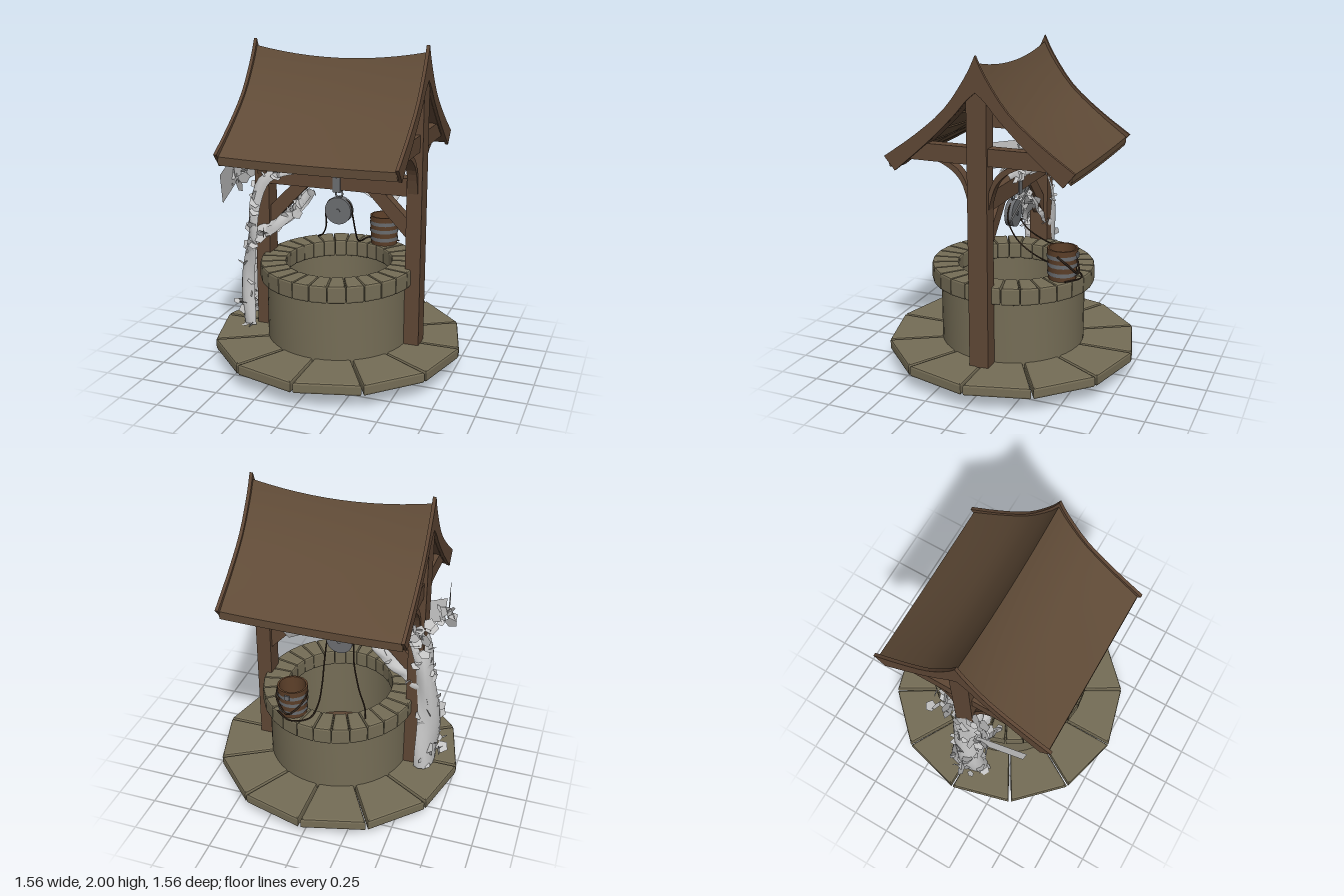
import * as THREE from 'three';
import { mergeGeometries, toCreasedNormals } from 'three/addons/utils/BufferGeometryUtils.js';

const mat = (name, color, side = THREE.FrontSide) => {
  const m = new THREE.MeshStandardMaterial({ color, side });
  m.name = name;
  return m;
};

export function createModel() {
  const root = new THREE.Group();
  root.name = 'well';
  const M = {
    stone: mat('stone', 0x756d56),
    wood: mat('timber', 0x5f4735),
    roof: mat('roof wood', 0x604b37),
    bucket: mat('bucket wood', 0x5c3f29),
    iron: mat('iron', 0x6c6e71),
    rope: mat('rope', 0x35281e, THREE.DoubleSide),
    vine: mat('vine', 0xc4c4c4, THREE.DoubleSide),
  };
  const add = (name, geo, m, x = 0, y = 0, z = 0) => {
    const mesh = new THREE.Mesh(geo, m);
    mesh.name = name;
    mesh.position.set(x, y, z);
    root.add(mesh);
    return mesh;
  };
  const box = (name, m, x0, x1, y0, y1, z0, z1) =>
    add(name, new THREE.BoxGeometry(x1 - x0, y1 - y0, z1 - z0), m, (x0 + x1) / 2, (y0 + y1) / 2, (z0 + z1) / 2);
  const V2 = (a) => a.map(([x, y]) => new THREE.Vector2(x, y));
  const V3 = (a) => a.map((p) => new THREE.Vector3(...p));
  const lathe = (pts, n) => toCreasedNormals(new THREE.LatheGeometry(V2(pts), n), 0.6);
  const smooth = (pts, n = 12) => new THREE.SplineCurve(V2(pts)).getPoints(n);
  const flip = (pts) => pts.map((p) => new THREE.Vector2(-p.x, p.y));
  const plate = (pts, depth) =>
    new THREE.ExtrudeGeometry(new THREE.Shape(pts), { depth, bevelEnabled: false });
  // Profile drawn in (z, y), extruded along x and centred
  const sidePlate = (pts, depth) => plate(pts, depth).translate(0, 0, -depth / 2).rotateY(Math.PI / 2);

  // Ring of bevelled wedge stones
  function stoneRing(name, n, ri, ro, y0, y1, gap, b, sx = 1, sz = 1) {
    const h = Math.PI / n, g = gap / 2 + b;
    const at = (r, s) => [r * Math.cos(h), s * (r * Math.sin(h) - g)];
    const shape = new THREE.Shape(V2([at(ri + b, -1), at(ro - b, -1), at(ro - b, 1), at(ri + b, 1)]));
    const geo = new THREE.ExtrudeGeometry(shape, {
      depth: y1 - y0 - 2 * b, bevelThickness: b, bevelSize: b, bevelSegments: 2,
    }).rotateX(-Math.PI / 2).translate(0, y0 + b, 0);
    const ring = new THREE.Group();
    ring.name = name;
    for (let i = 0; i < n; i++) {
      const s = new THREE.Mesh(geo, M.stone);
      s.name = name + 'Stone';
      s.rotation.y = (2 * i + 1) * h;
      ring.add(s);
    }
    ring.scale.set(sx, 1, sz);
    root.add(ring);
  }

  // Foundation, paving and well shaft
  add('foundation', lathe([[0.355, 0], [0.355, 0.08], [0.3, 0.08], [0.3, 0], [0.355, 0]], 48), M.stone);
  add('wellFloor', new THREE.CylinderGeometry(0.38, 0.38, 0.06, 48), M.wood, 0, 0.105, 0);
  stoneRing('paving', 12, 0.41, 0.785, 0.1, 0.17, 0.012, 0.014);
  add('wellWall', lathe([[0.45, 0.13], [0.45, 0.56], [0.365, 0.56], [0.365, 0.13]], 48), M.stone);
  stoneRing('rim', 28, 0.345, 0.512, 0.55, 0.66, 0.004, 0.013, 0.955, 1);

  // Roof sheets: a box bent along the slope, with a sagging ridge
  const slope = new THREE.SplineCurve(V2([[0, 1.96], [0.06, 1.85], [0.19, 1.68], [0.375, 1.52], [0.555, 1.385]]));
  function roofSheet(name, s0, s1, top, bottom, turn) {
    const g = new THREE.BoxGeometry(1.07, 1, 1, 12, 1, 10);
    const p = g.attributes.position;
    for (let i = 0; i < p.count; i++) {
      const x = p.getX(i), s = s0 + (s1 - s0) * (p.getZ(i) + 0.5);
      const c = slope.getPoint(s);
      const sag = 0.055 * (1 - (x / 0.535) ** 2) * (1 - 0.85 * s);
      p.setXYZ(i, x, c.y - sag + (p.getY(i) > 0 ? top : bottom), c.x);
    }
    g.computeVertexNormals();
    add(name, g, M.roof).rotation.y = turn;
  }
  for (const turn of [0, Math.PI]) {
    roofSheet('roofSlope', 0, 1, 0, -0.035, turn);
    for (let i = 0; i < 7; i++) roofSheet('roofPlank', i / 7 + 0.008, (i + 1) / 7 - 0.012, -0.03, -0.055, turn);
  }

  // Gable profile from an upper and a lower edge, mirrored about the ridge
  const gable = (up, low) => {
    const u = smooth(up), l = smooth(low);
    return [...u, ...l, ...flip(l).reverse().slice(1), ...flip(u).reverse().slice(0, -1)];
  };
  const lowEdge = [[0.30, 1.5], [0.14, 1.656], [0.058, 1.75], [0, 1.8]];
  const barge = gable([[0, 2], [0.058, 1.885], [0.19, 1.7], [0.376, 1.54], [0.577, 1.4]], [[0.51, 1.32], ...lowEdge]);
  const rafter = gable([[0, 1.9], [0.06, 1.8], [0.19, 1.635], [0.375, 1.475], [0.53, 1.365]], [[0.50, 1.335], ...lowEdge]);
  const archLow = smooth([[0.05, 1.09], [0.095, 1.26], [0.164, 1.345], [0.26, 1.395]]);
  const archUp = smooth([[0.19, 1.395], [0.13, 1.36], [0.085, 1.3], [0.05, 1.2]]);
  const arch = [...archLow, ...archUp];

  // Timber frame at each end
  for (const s of [-1, 1]) {
    const post = box('post', M.wood, -0.047, 0.047, 0.165, 1.83, -0.06, 0.06);
    post.position.x = s * 0.493;
    add('bargeboard', sidePlate(barge, 0.02), M.wood, s * 0.54, 0, 0);
    add('rafter', sidePlate(rafter, 0.1), M.wood, s * 0.478, 0, 0);
    add('tieBeam', sidePlate(V2([[-0.43, 1.39], [0.43, 1.39], [0.32, 1.49], [-0.32, 1.49]]), 0.07), M.wood, s * 0.488, 0, 0);
    for (const side of [arch, flip(arch)]) add('archBrace', sidePlate(side, 0.06), M.wood, s * 0.485, 0, 0);
    const knee = V2([[0.19, 1.115], [0.3, 1.115], [0.45, 0.965], [0.45, 0.84]].map(([x, y]) => [s * x, y]));
    add('kneeBrace', plate(knee, 0.07), M.wood, 0, 0, -0.035);
  }
  box('crossBeam', M.wood, -0.46, 0.46, 1.11, 1.22, -0.045, 0.045);

  // Pulley and ropes
  box('pulleyBracket', M.iron, -0.025, 0.025, 1.095, 1.195, -0.052, 0.052);
  add('pulleyRing', new THREE.TorusGeometry(0.022, 0.006, 6, 16), M.iron, 0, 1.075, 0);
  add('pulleyWheel', new THREE.CylinderGeometry(0.085, 0.085, 0.05, 28).rotateX(Math.PI / 2), M.iron, 0, 0.97, 0);
  add('pulleyAxle', new THREE.CylinderGeometry(0.014, 0.014, 0.066, 12).rotateX(Math.PI / 2), M.iron, 0, 0.97, 0);
  const rope = (name, pts, r = 0.005) =>
    add(name, new THREE.TubeGeometry(new THREE.CatmullRomCurve3(V3(pts)), 40, r, 6), M.rope);
  rope('ropeLeft', [[0, 1.056, 0], [-0.07, 1.02, 0], [-0.087, 0.95, 0], [-0.1, 0.86, -0.04], [-0.17, 0.75, -0.16],
    [-0.25, 0.69, -0.28], [-0.27, 0.667, -0.34]]);
  rope('ropeRight', [[0, 1.056, 0], [0.07, 1.02, 0], [0.087, 0.95, 0], [0.085, 0.83, -0.06], [0.06, 0.73, -0.18],
    [0.04, 0.68, -0.31], [0.05, 0.667, -0.44], [0.15, 0.665, -0.495], [0.26, 0.667, -0.43]]);

  // Bucket on the rim
  const bx = 0.173, bz = -0.385;
  add('bucket', lathe([[0, 0], [0.085, 0], [0.093, 0.19], [0.081, 0.19], [0.074, 0.02], [0, 0.02]], 16), M.bucket, bx, 0.66, bz);
  for (const y of [0.04, 0.095, 0.145]) {
    const r = 0.0885 + y * 0.042;
    add('bucketHoop', new THREE.CylinderGeometry(r + 0.001, r, 0.024, 16, 1, true), M.iron, bx, 0.66 + y, bz);
  }
  rope('bucketHandle', [[bx - 0.095, 0.82, bz], [bx - 0.08, 0.77, bz - 0.06], [bx, 0.7, bz - 0.1],
    [bx + 0.08, 0.77, bz - 0.06], [bx + 0.095, 0.82, bz]], 0.006);
  box('handleLug', M.iron, bx - 0.015, bx + 0.015, 0.8, 0.83, bz - 0.1, bz - 0.085);

  // Climbing vine: half-tube sheets swept along a path, plus scattered leaves
  let seed = 7;
  const rnd = () => (seed = (seed * 16807) % 2147483647) / 2147483647;
  const leaves = [];
  const leaf = (p, r) => {
    const g = new THREE.CircleGeometry(r * (0.7 + 0.6 * rnd()), 5);
    g.rotateX(rnd() * 2 - 1).rotateY(rnd() * 6.3).rotateZ(rnd() * 2 - 1);
    leaves.push(g.translate(p.x, p.y, p.z));
  };
  function vineSheet(name, path, rows, wide, r0, r1, leafCount) {
    const curve = new THREE.CatmullRomCurve3(V3(path));
    const cols = 10, pos = [], idx = [];
    const point = (u, v) => {
      const c = curve.getPoint(u), t = curve.getTangent(u);
      const a = (v * 2 - 1) * 1.9;
      const r = (r0 + (r1 - r0) * u) * (0.92 + 0.12 * Math.sin(u * 17 + v * 9));
      return new THREE.Vector3(c.x - t.y * Math.cos(a) * r, c.y + t.x * Math.cos(a) * r, c.z + Math.sin(a) * r * wide);
    };
    for (let i = 0; i <= rows; i++) for (let j = 0; j <= cols; j++) {
      pos.push(...point(i / rows, j / cols).toArray());
      if (i < rows && j < cols) {
        const k = i * (cols + 1) + j;
        idx.push(k, k + 1, k + cols + 1, k + 1, k + cols + 2, k + cols + 1);
      }
    }
    const g = new THREE.BufferGeometry();
    g.setAttribute('position', new THREE.Float32BufferAttribute(pos, 3));
    g.setIndex(idx);
    g.computeVertexNormals();
    add(name, g, M.vine);
    for (let i = 0; i < leafCount; i++) leaf(point(rnd(), rnd()), 0.03);
  }
  vineSheet('mainVine', [[-0.555, 0.18, 0.01], [-0.56, 0.45, 0.02], [-0.535, 0.75, 0.02], [-0.51, 0.98, 0.02],
    [-0.43, 1.15, 0.02], [-0.27, 1.21, 0], [-0.05, 1.215, 0], [0.16, 1.215, 0]], 30, 1.3, 0.1, 0.04, 75);
  vineSheet('sideVine', [[-0.52, 0.76, 0.02], [-0.4, 0.83, 0.02], [-0.28, 0.93, 0], [-0.18, 1.06, 0]], 10, 1.2, 0.075, 0.04, 22);

  // Dense leaf clumps: centre and spread
  for (const [x, y, z, d, n] of [[-0.61, 1.2, 0.16, 0.06, 14], [-0.49, 0.79, 0.12, 0.06, 8], [-0.61, 0.3, 0.03, 0.07, 12],
    [-0.61, 0.58, 0.03, 0.05, 8], [-0.52, 1.18, -0.14, 0.07, 16]])
    for (let i = 0; i < n; i++)
      leaf(new THREE.Vector3(x + (rnd() * 2 - 1) * d, y + (rnd() * 2 - 1) * d * 1.3, z + (rnd() * 2 - 1) * d), 0.035);
  add('vineLeaves', mergeGeometries(leaves), M.vine);

  // Loose flat sprays
  const spray = (name, w, h, x, y, z, rx, ry, rz) =>
    add(name, new THREE.PlaneGeometry(w, h), M.vine, x, y, z).rotation.set(rx, ry, rz);
  spray('frontSpray', 0.3, 0.18, -0.61, 1.18, 0.29, 0.15, Math.PI / 2 + 0.2, 0);
  spray('frontSprayCross', 0.16, 0.14, -0.57, 1.21, 0.13, 0.3, Math.PI / 2 - 0.5, 0);
  spray('beamSpray', 0.31, 0.11, 0.19, 1.09, -0.12, -0.4, 0.15, -0.45);
  spray('backSpray', 0.22, 0.16, -0.42, 1.17, -0.14, -0.5, 0.3, 0.3);

  return root;
}
